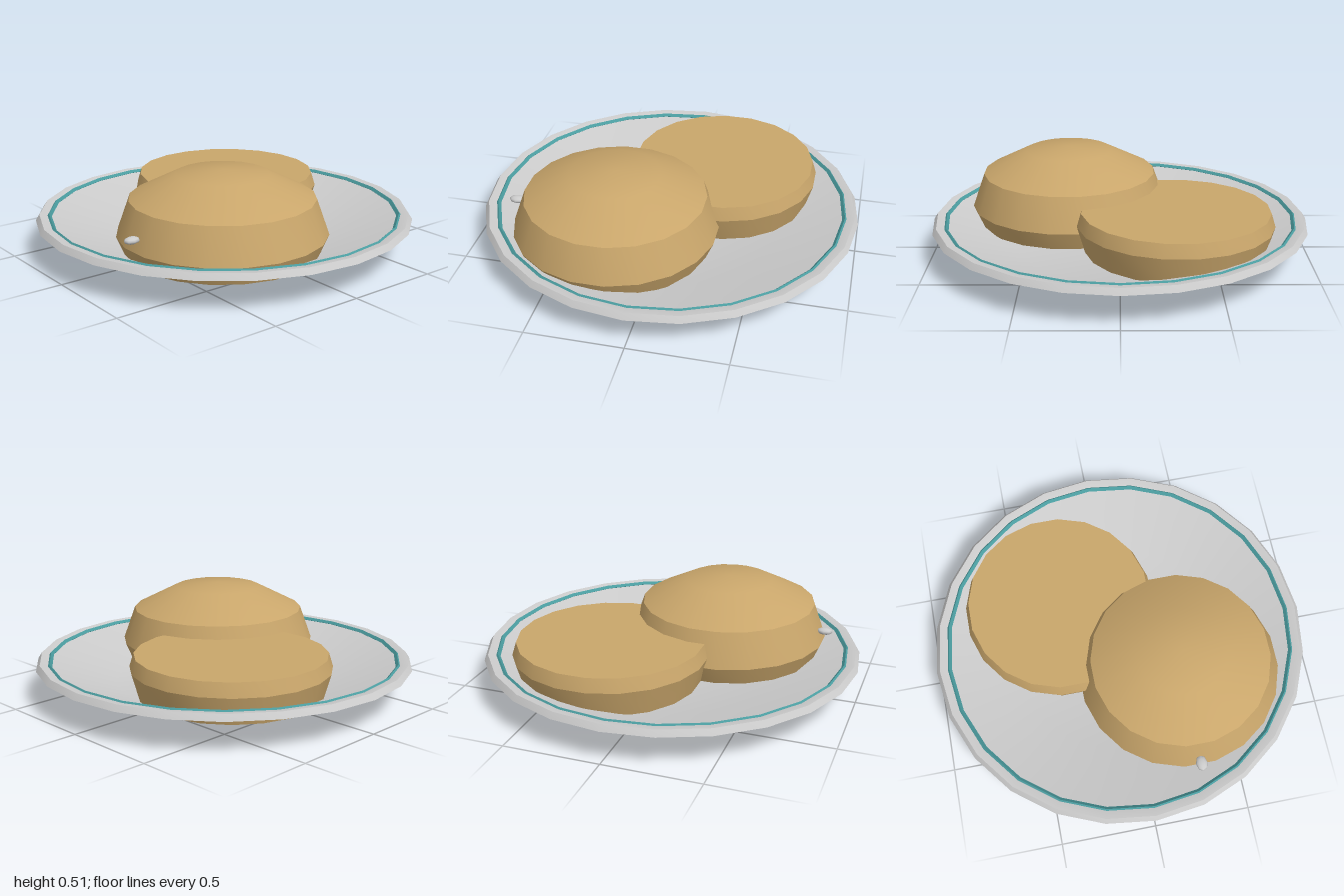
import * as THREE from 'three';
import { toCreasedNormals } from 'three/addons/utils/BufferGeometryUtils.js';

const grey = new THREE.MeshStandardMaterial({ color: 0xcccccc });
const crust = new THREE.MeshStandardMaterial({ color: 0xc9a66b });
const teal = new THREE.MeshStandardMaterial({ color: 0x4a9b9e });

// Turned part from [radius, height] pairs; sharp edges stay creased
function turned(name, profile, sides, material, phiStart = 0) {
  const points = profile.map(([r, y]) => new THREE.Vector2(r, y));
  const lathe = new THREE.LatheGeometry(points, sides, phiStart);
  const mesh = new THREE.Mesh(toCreasedNormals(lathe, Math.PI / 6), material);
  mesh.name = name;
  return mesh;
}

export function createModel() {
  const model = new THREE.Group();
  model.name = 'breadPlate';

  // Shallow plate: foot, flared underside, rim, sloping inside, flat floor
  model.add(turned('plate', [
    [0, 0], [0.56, 0], [0.6, 0.035], [1, 0.17], [0.98, 0.2],
    [0.94, 0.195], [0.58, 0.06], [0, 0.06],
  ], 24, grey));

  // Painted band just inside the rim
  const band = new THREE.Mesh(
    toCreasedNormals(new THREE.TorusGeometry(0.93, 0.014, 4, 24), Math.PI / 6), teal);
  band.name = 'rimBand';
  band.rotation.set(Math.PI / 2, 0, Math.PI / 2);
  band.position.y = 0.188;
  model.add(band);

  // Flat bottom half of the bun, lying behind
  const lower = turned('bunBottom', [
    [0, 0.095], [0.47, 0.095], [0.51, 0.235], [0.488, 0.305], [0, 0.305],
  ], 20, crust, Math.PI / 20);
  lower.position.set(-0.285, 0, -0.235);
  model.add(lower);

  // Domed top half, in front
  const upper = turned('bunTop', [
    [0, 0.095], [0.495, 0.095], [0.535, 0.19], [0.47, 0.37],
    [0.235, 0.49], [0, 0.51],
  ], 20, crust, Math.PI / 20);
  upper.position.set(0.28, 0, 0.23);
  model.add(upper);

  // Single seed on the front of the domed half
  const seed = new THREE.Mesh(new THREE.SphereGeometry(1, 8, 6), grey);
  seed.name = 'seed';
  seed.scale.set(0.03, 0.018, 0.042);
  seed.position.set(0.28, 0.255, 0.77);
  model.add(seed);

  return model;
}
